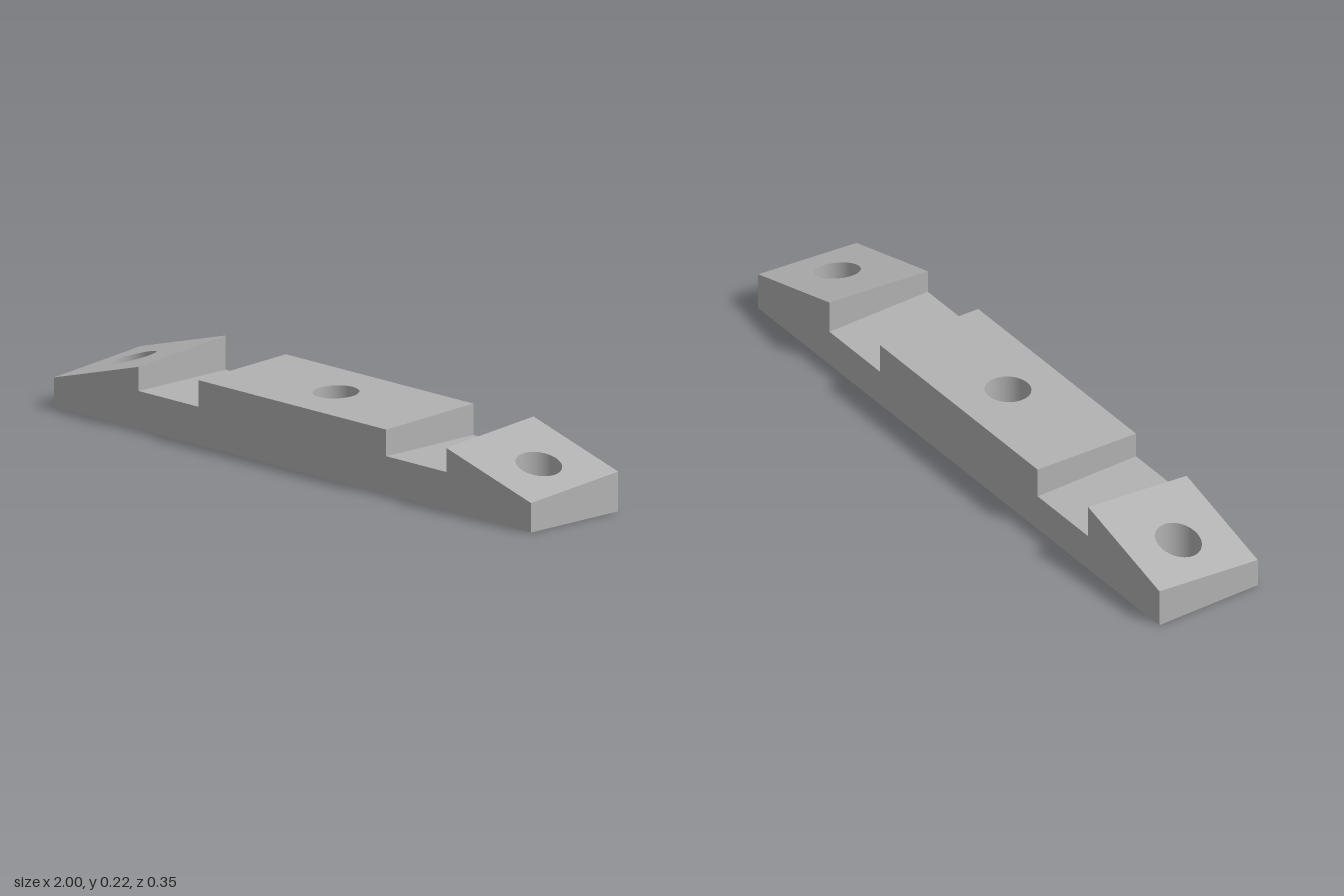
import * as THREE from 'three';

const D = 0.176;   // half depth
const R = 0.068;   // bolt hole radius
const A = 0.393, B = 0.645, HOLE = 0.85;

// Top surface heights of the three kinds of section
const padTop = (x, z) => 0.202 - 0.04 * z;
const grooveTop = () => 0.115;
const endTop = (x, z) => 0.104 + (1 - Math.abs(x)) * 0.278 - 0.087 * z;

const sections = [
  { name: 'rightEnd', x0: -1, x1: -B, top: endTop, hole: -HOLE },
  { name: 'rightGroove', x0: -B, x1: -A, top: grooveTop },
  { name: 'centrePad', x0: -A, x1: A, top: padTop, hole: 0 },
  { name: 'leftGroove', x0: A, x1: B, top: grooveTop },
  { name: 'leftEnd', x0: B, x1: 1, top: endTop, hole: HOLE },
];

// Rectangular footprint with round holes
function footprint(x0, x1, holes) {
  const shape = new THREE.Shape([[x0, -D], [x1, -D], [x1, D], [x0, D]].map(p => new THREE.Vector2(...p)));
  for (const x of holes) shape.holes.push(new THREE.Path().absarc(x, 0, R, 0, Math.PI * 2, true));
  return new THREE.ShapeGeometry(shape, 24);
}

// Moves upper vertices onto one height function and the others onto a second
function fitHeight(geo, upper, lower) {
  const p = geo.attributes.position;
  for (let i = 0; i < p.count; i++) {
    const f = p.getY(i) > 0 ? upper : lower;
    p.setY(i, f(p.getX(i), p.getZ(i)));
  }
  return geo;
}

export function createModel() {
  const group = new THREE.Group();
  group.name = 'mountingBar';
  const grey = new THREE.MeshStandardMaterial({ color: 0xb2b2b2 });
  grey.name = 'grey';
  const ground = () => 0;
  const add = (name, geo) => {
    const mesh = new THREE.Mesh(geo, grey);
    mesh.name = name;
    group.add(mesh);
  };

  // Sloped tops and the bores through them
  for (const s of sections) {
    const holes = s.hole === undefined ? [] : [s.hole];
    const top = fitHeight(footprint(s.x0, s.x1, holes).rotateX(-Math.PI / 2).translate(0, 1, 0), s.top, s.top);
    top.computeVertexNormals();
    add(s.name + 'Top', top);
    for (const x of holes) {
      const bore = new THREE.CylinderGeometry(R, R, 1, 48, 1, true).translate(x, 0, 0);
      bore.index.array.reverse();
      const n = bore.attributes.normal.array;
      for (let i = 0; i < n.length; i++) n[i] = -n[i];
      add(s.name + 'Bore', fitHeight(bore, s.top, ground));
    }
  }

  // Underside
  add('underside', footprint(-1, 1, [-HOLE, 0, HOLE]).rotateX(Math.PI / 2));

  // Stepped front and back walls
  for (const side of [1, -1]) {
    const outline = [new THREE.Vector2(1, 0), new THREE.Vector2(-1, 0)];
    for (const s of sections) {
      for (const x of [s.x0, s.x1]) outline.push(new THREE.Vector2(x, s.top(x, side * D)));
    }
    const wall = new THREE.ShapeGeometry(new THREE.Shape(outline)).translate(0, 0, D);
    if (side < 0) wall.rotateY(Math.PI);
    add(side > 0 ? 'frontWall' : 'backWall', wall);
  }

  // End walls and groove walls, each facing along x
  const risers = [
    ['endWall', 1, 1, endTop, ground],
    ['outerGrooveWall', B, -1, endTop, grooveTop],
    ['innerGrooveWall', A, 1, padTop, grooveTop],
  ];
  for (const [name, x, facing, upper, lower] of risers) {
    for (const m of [1, -1]) {
      const riser = new THREE.PlaneGeometry(2 * D, 1).rotateY(m * facing * Math.PI / 2).translate(m * x, 0, 0);
      add((m > 0 ? 'left ' : 'right ') + name, fitHeight(riser, upper, lower));
    }
  }
  return group;
}
